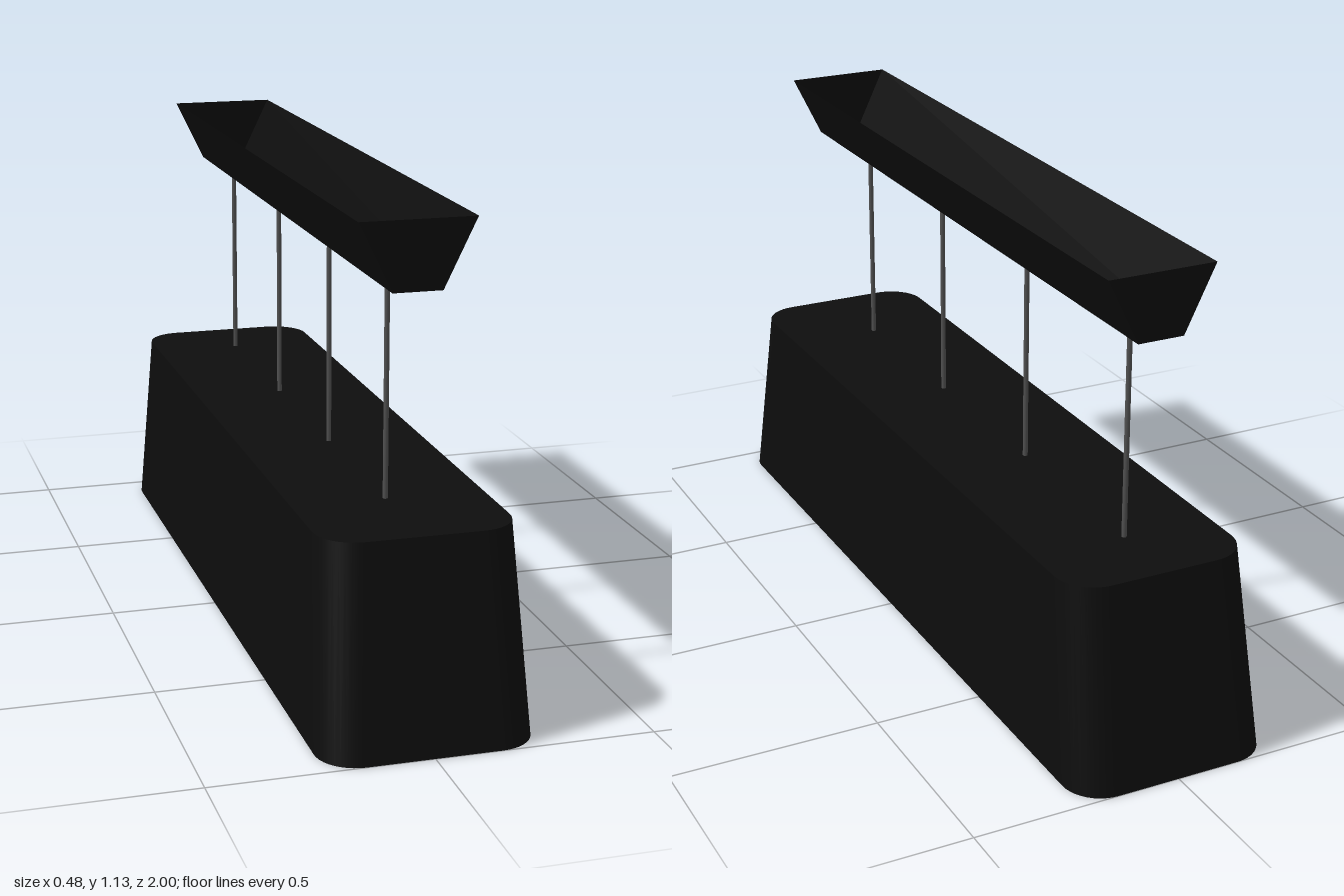
import * as THREE from 'three';

const black = new THREE.MeshStandardMaterial({ color: 0x0d0d0d, side: THREE.DoubleSide });
black.name = 'black';
const white = new THREE.MeshStandardMaterial({ color: 0xf0f0f0 });
white.name = 'white';
const grey = new THREE.MeshStandardMaterial({ color: 0x505050 });
grey.name = 'grey';

const STEPS = 10;

// Horizontal rounded rectangle: half width, half length, corner radius.
// A radius of 0 doubles the corner points, which keeps the edges sharp.
function ring(y, hw, hl, r) {
  const points = [];
  const signs = [[1, 1], [-1, 1], [-1, -1], [1, -1]];
  signs.forEach(([sx, sz], corner) => {
    for (let i = 0; i <= STEPS; i++) {
      const a = (corner + i / STEPS) * Math.PI / 2;
      points.push([sx * (hw - r) + r * Math.cos(a), y, sz * (hl - r) + r * Math.sin(a)]);
    }
  });
  return points;
}

// Surface joining two rings
function band(name, from, to, material) {
  const n = from.length;
  const index = [];
  for (let i = 0; i < n; i++) {
    const j = (i + 1) % n;
    index.push(i, n + i, j, n + i, n + j, j);
  }
  const geometry = new THREE.BufferGeometry();
  geometry.setAttribute('position', new THREE.Float32BufferAttribute([...from, ...to].flat(), 3));
  geometry.setIndex(index);
  geometry.computeVertexNormals();
  const mesh = new THREE.Mesh(geometry, material);
  mesh.name = name;
  return mesh;
}

export function createModel() {
  const model = new THREE.Group();
  model.name = 'pendantLamp';

  // Tapered shade with a white lining, open at the bottom
  const outerBottom = ring(0, 0.242, 1, 0.09);
  const outerTop = ring(0.467, 0.221, 0.912, 0.09);
  const innerBottom = ring(0, 0.222, 0.978, 0.08);
  const innerTop = ring(0.45, 0.203, 0.893, 0.08);
  const shade = new THREE.Group();
  shade.name = 'shade';
  shade.add(
    band('shadeWall', outerBottom, outerTop, black),
    band('shadeTop', outerTop, ring(0.467, 0, 0.7, 0), black),
    band('shadeRim', innerBottom, outerBottom, black),
    band('liningWall', innerTop, innerBottom, white),
    band('liningCeiling', ring(0.45, 0, 0.7, 0), innerTop, white)
  );
  model.add(shade);

  // Ceiling canopy: a trough with sloping sides, open on top
  const canopyBottom = ring(0.98, 0.055, 0.855, 0);
  const canopyTop = ring(1.132, 0.129, 0.855, 0);
  const canopy = new THREE.Group();
  canopy.name = 'canopy';
  canopy.add(
    band('canopyWalls', canopyBottom, canopyTop, black),
    band('canopyBase', ring(0.98, 0, 0.855, 0), canopyBottom, black)
  );
  canopy.position.set(-0.006, 0, 0.004);
  model.add(canopy);

  // Suspension rods
  const rodGeometry = new THREE.CylinderGeometry(0.006, 0.006, 0.52, 12);
  for (const z of [0.65, 0.205, -0.25, -0.725]) {
    const rod = new THREE.Mesh(rodGeometry, grey);
    rod.name = 'rod';
    rod.position.set(-0.005, 0.722, z);
    model.add(rod);
  }
  return model;
}
